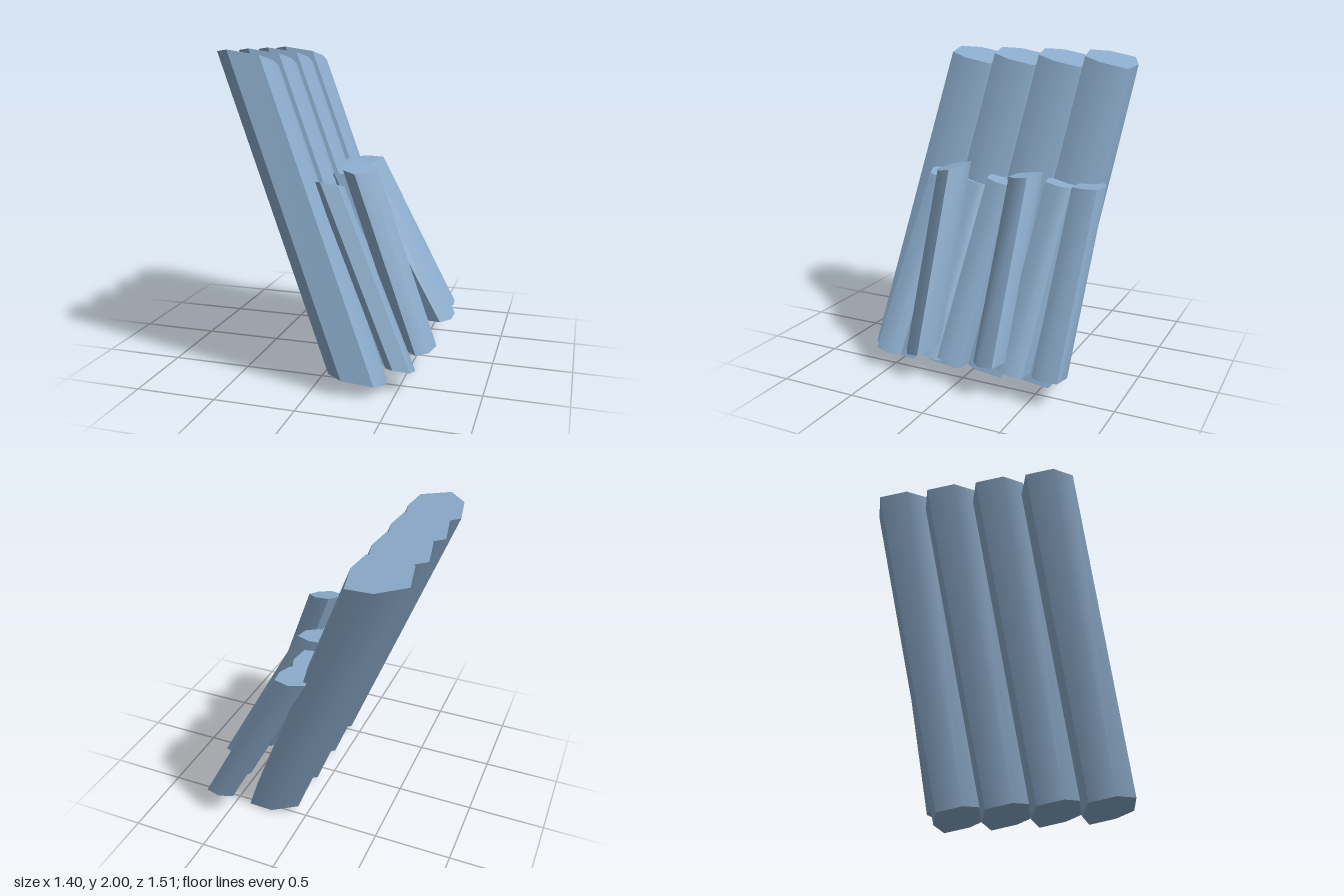
import * as THREE from 'three';
import { toCreasedNormals } from 'three/addons/utils/BufferGeometryUtils.js';

// A slanted prism: outline of the top end as [x, z] pairs (clockwise from above),
// y = height of the end's centre, slope = tilt of both ends along x and z,
// run = offset from the top end to the bottom end.
function leaningPrism({ outline, y, slope, run }) {
  const n = outline.length;
  const cx = outline.reduce((s, p) => s + p[0], 0) / n;
  const cz = outline.reduce((s, p) => s + p[1], 0) / n;
  const top = outline.map(([x, z]) => [x, y + slope[0] * (x - cx) + slope[1] * (z - cz), z]);
  const bottom = top.map((p) => p.map((v, k) => v + run[k]));
  const pos = [];
  const tri = (...corners) => corners.forEach((c) => pos.push(...c));
  for (let i = 0; i < n; i++) {
    const j = (i + 1) % n;
    tri(top[i], top[j], bottom[j]);
    tri(top[i], bottom[j], bottom[i]);
    if (i > 0 && i < n - 1) {
      tri(top[0], top[j], top[i]);
      tri(bottom[0], bottom[i], bottom[j]);
    }
  }
  const geo = new THREE.BufferGeometry();
  geo.setAttribute('position', new THREE.Float32BufferAttribute(pos, 3));
  return toCreasedNormals(geo, 0.9);
}

// Tall column, repeated in a row along z
const tall = {
  outline: [[-0.7, 0.28], [-0.53, 0.21], [-0.36, 0.23], [-0.33, 0.4], [-0.37, 0.52], [-0.56, 0.555], [-0.67, 0.45]],
  y: 1.951, slope: [-0.115, 0.24], run: [0.76, -1.9, 0.2],
};

// Short columns leaning against the row, from back to front
const short = [
  { outline: [[-0.11, -0.7], [-0.02, -0.735], [0.08, -0.71], [0.09, -0.62], [0.06, -0.54], [-0.05, -0.54], [-0.1, -0.62]],
    y: 1.205, slope: [0, -0.02], run: [0.555, -1.04, 0.02] },
  { outline: [[-0.05, -0.54], [0.05, -0.53], [0.075, -0.46], [0.05, -0.36], [-0.05, -0.34], [-0.1, -0.39], [-0.11, -0.48]],
    y: 1.205, slope: [0, 0.15], run: [0.565, -1.05, 0.07] },
  { outline: [[-0.06, -0.3], [0.04, -0.31], [0.135, -0.27], [0.125, -0.17], [0.06, -0.11], [-0.04, -0.12], [-0.07, -0.2]],
    y: 1.243, slope: [0, -0.13], run: [0.565, -1.04, -0.03] },
  { outline: [[-0.04, -0.125], [0.05, -0.115], [0.07, -0.03], [0.05, 0.05], [-0.05, 0.075], [-0.11, 0.03], [-0.11, -0.06]],
    y: 1.185, slope: [0, 0.23], run: [0.53, -1.06, 0.09] },
  { outline: [[-0.03, 0.095], [0, 0.15], [-0.01, 0.26], [-0.05, 0.275], [-0.13, 0.27], [-0.17, 0.18], [-0.12, 0.1]],
    y: 1.155, slope: [0, 0.2], run: [0.57, -1.03, 0.03] },
  { outline: [[0.1, 0.14], [0.2, 0.145], [0.27, 0.21], [0.24, 0.3], [0.165, 0.35], [0.08, 0.31], [0.055, 0.22]],
    y: 1.285, slope: [-0.08, -0.24], run: [0.4, -1.11, 0.022] },
  { outline: [[-0.05, 0.3], [0.06, 0.29], [0.1, 0.35], [0.09, 0.45], [-0.01, 0.485], [-0.06, 0.455], [-0.075, 0.36]],
    y: 1.2, slope: [-0.1, 0.22], run: [0.49, -1.08, 0.14] },
];

export function createModel() {
  const group = new THREE.Group();
  group.name = 'leaningColumns';
  const stone = new THREE.MeshStandardMaterial({ color: 0x8caccc });
  stone.name = 'paleBlueStone';

  const add = (geometry, name, z = 0) => {
    const mesh = new THREE.Mesh(geometry, stone);
    mesh.name = name;
    mesh.position.z = z;
    group.add(mesh);
  };

  const tallGeometry = leaningPrism(tall);
  for (let i = 0; i < 4; i++) add(tallGeometry, `tallColumn${i + 1}`, -0.323 * i);
  short.forEach((column, i) => add(leaningPrism(column), `shortColumn${i + 1}`));
  return group;
}
